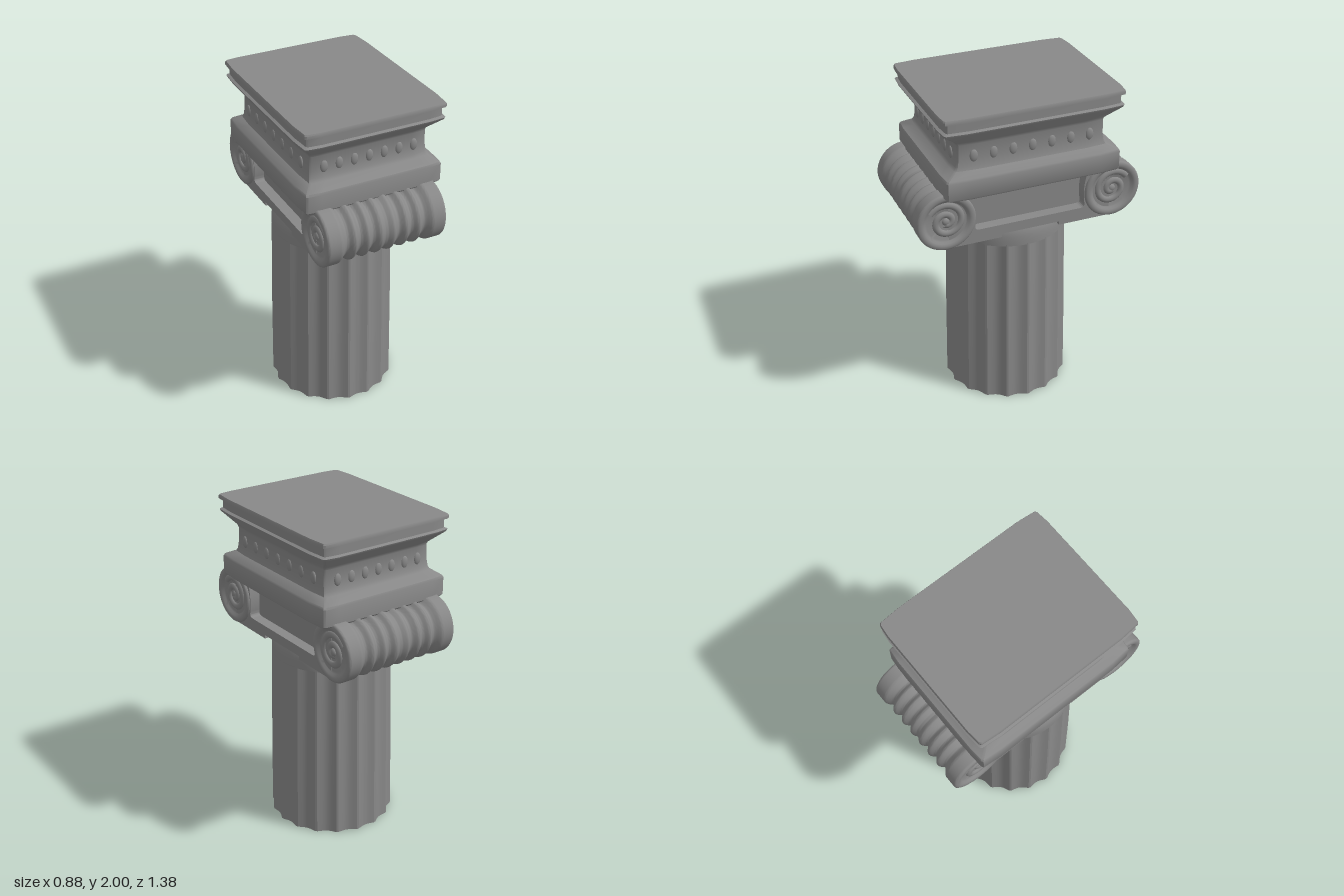
import * as THREE from 'three';
import { toCreasedNormals } from 'three/addons/utils/BufferGeometryUtils.js';

const material = new THREE.MeshStandardMaterial({ color: 0x888888 });

function add(parent, name, geometry, x = 0, y = 0, z = 0) {
  const mesh = new THREE.Mesh(geometry, material);
  mesh.name = name;
  mesh.position.set(x, y, z);
  parent.add(mesh);
  return mesh;
}

// Skin closed rings of [x, y, z] points, listed bottom to top, and cap both ends.
function loft(rings, crease) {
  const n = rings[0].length, index = [];
  const points = rings.flat();
  for (let i = 0; i < rings.length - 1; i++) {
    for (let j = 0; j < n; j++) {
      const a = i * n + j, b = i * n + (j + 1) % n;
      index.push(a, a + n, b, b, a + n, b + n);
    }
  }
  const last = (rings.length - 1) * n, low = points.length, high = low + 1;
  points.push([0, rings[0][0][1], 0], [0, rings.at(-1)[0][1], 0]);
  for (let j = 0; j < n; j++) {
    const k = (j + 1) % n;
    index.push(low, j, k, high, last + k, last + j);
  }
  const g = new THREE.BufferGeometry();
  g.setAttribute('position', new THREE.Float32BufferAttribute(points.flat(), 3));
  g.setIndex(index);
  return toCreasedNormals(g, crease);
}

// Rectangle with softly worn corners, half sizes a (x) and b (z).
function wornRectangle(a, b, y) {
  const corner = [[a, b - 0.135], [a - 0.01, b - 0.016], [a - 0.022, b - 0.008], [a - 0.1, b]];
  const back = [...corner].reverse();
  return [
    ...corner,
    ...back.map(([x, z]) => [-x, z]),
    ...corner.map(([x, z]) => [-x, -z]),
    ...back.map(([x, z]) => [x, -z]),
  ].map(([x, z]) => [x, y, z]);
}

// Circle with scalloped flutes separated by narrow ridges.
function flutedRing(radius, y) {
  const flutes = 18, steps = 10, ring = [];
  for (let i = 0; i < flutes * steps; i++) {
    const t = ((i - 0.5) / (flutes * steps)) * Math.PI * 2;
    const across = Math.max(0, (i % steps) - 1) / (steps - 1);
    const r = radius - 0.018 * Math.sin(Math.PI * across);
    ring.push([r * Math.cos(t), y, r * Math.sin(t)]);
  }
  return ring;
}

function createColumn() {
  const column = new THREE.Group();
  column.name = 'column';
  column.position.set(-0.011, 0, 0.011);
  add(column, 'flutedShaft', loft([flutedRing(0.379, 0), flutedRing(0.372, 0.55), flutedRing(0.36, 1.1)], 0.3));
  const neck = [[0, 1.09], [0.36, 1.09], [0.36, 1.12], [0.358, 1.15], [0.353, 1.18], [0.34, 1.21], [0, 1.21]];
  add(column, 'neck', toCreasedNormals(
    new THREE.LatheGeometry(neck.map(p => new THREE.Vector2(...p)), 64), 0.6));
  return column;
}

// Radius of the ribbed roll at a distance x from its middle, shallower at the centre.
function rollRadius(x) {
  const d = Math.abs(x);
  if (d < 0.04) return 0.163 - 0.008 * Math.cos(Math.PI * 2 * d / 0.08);
  if (d < 0.24) return 0.158 - 0.013 * Math.cos(Math.PI * 2 * d / 0.08);
  return 0.145 + 0.03 * THREE.MathUtils.smoothstep(d, 0.24, 0.29);
}

// Spiral curling in to the eye of a scroll.
class Spiral extends THREE.Curve {
  getPoint(t, target = new THREE.Vector3()) {
    const r = 0.112 * (1 - t) + 0.016 * t, angle = t * Math.PI * 3.4 + 0.6;
    return target.set(0, r * Math.sin(angle), r * Math.cos(angle));
  }
}

function createScroll() {
  const scroll = new THREE.Group();
  scroll.name = 'scroll';
  // Ribbed roll with a rounded rim and a recessed face at each end
  const end = [[0, 0.352], [0.115, 0.352], [0.126, 0.357], [0.136, 0.367], [0.148, 0.372], [0.164, 0.371], [0.172, 0.366]];
  const profile = end.map(([r, x]) => new THREE.Vector2(r, -x));
  for (let i = -60; i <= 60; i++) profile.push(new THREE.Vector2(rollRadius(i * 0.006), i * 0.006));
  profile.push(...end.reverse().map(([r, x]) => new THREE.Vector2(r, x)));
  const roll = toCreasedNormals(new THREE.LatheGeometry(profile, 64), 0.9);
  add(scroll, 'ribbedRoll', roll.rotateZ(-Math.PI / 2));
  // Soft spiral relief and eye on both end faces
  const spiral = new THREE.TubeGeometry(new Spiral(), 110, 0.021, 10);
  const eye = new THREE.SphereGeometry(0.024, 20, 12);
  for (const side of [-1, 1]) {
    add(scroll, 'spiralRelief', spiral, side * 0.349).scale.x = 0.8;
    add(scroll, 'scrollEye', eye, side * 0.349).scale.x = 0.7;
  }
  return scroll;
}

function createCapital() {
  const capital = new THREE.Group();
  capital.name = 'capital';
  for (const side of [-1, 1]) {
    const scroll = createScroll();
    scroll.position.set(0, 1.355, side * 0.513);
    scroll.scale.z = side;
    capital.add(scroll);
  }
  add(capital, 'core', new THREE.BoxGeometry(0.58, 0.29, 0.88), 0, 1.345, 0);
  add(capital, 'middleBand', new THREE.BoxGeometry(0.16, 0.06, 0.96), 0, 1.485, 0);

  // Side frame: sagging band above, notched band below, curved ends beside the scrolls
  const frame = new THREE.Shape();
  frame.moveTo(-0.5, 1.18);
  frame.lineTo(-0.18, 1.18);
  frame.lineTo(-0.18, 1.202);
  frame.lineTo(0.18, 1.202);
  frame.lineTo(0.18, 1.18);
  frame.lineTo(0.5, 1.18);
  frame.lineTo(0.5, 1.525);
  frame.bezierCurveTo(0.28, 1.525, 0.2, 1.475, 0.08, 1.475);
  frame.lineTo(-0.08, 1.475);
  frame.bezierCurveTo(-0.2, 1.475, -0.28, 1.525, -0.5, 1.525);
  const panel = new THREE.Path();
  panel.moveTo(-0.31, 1.262);
  panel.lineTo(0.31, 1.262);
  panel.quadraticCurveTo(0.345, 1.262, 0.34, 1.29);
  panel.quadraticCurveTo(0.325, 1.37, 0.345, 1.455);
  panel.quadraticCurveTo(0.35, 1.485, 0.31, 1.485);
  panel.bezierCurveTo(0.2, 1.478, 0.16, 1.455, 0.08, 1.455);
  panel.lineTo(-0.08, 1.455);
  panel.bezierCurveTo(-0.16, 1.455, -0.2, 1.478, -0.31, 1.485);
  panel.quadraticCurveTo(-0.35, 1.485, -0.345, 1.455);
  panel.quadraticCurveTo(-0.325, 1.37, -0.34, 1.29);
  panel.quadraticCurveTo(-0.345, 1.262, -0.31, 1.262);
  frame.holes.push(panel);
  const frameGeometry = new THREE.ExtrudeGeometry(frame, { depth: 0.08, bevelEnabled: false, curveSegments: 16 });
  frameGeometry.rotateY(Math.PI / 2).translate(-0.04, 0, 0);
  for (const side of [-1, 1]) {
    add(capital, 'sideFrame', toCreasedNormals(frameGeometry, 0.6), side * 0.315);
  }
  return capital;
}

function createTopBlock() {
  const block = new THREE.Group();
  block.name = 'topBlock';
  // Moulding as [half width, half depth, height]
  const moulding = [
    [0.425, 0.525, 1.508], [0.431, 0.533, 1.518], [0.431, 0.533, 1.62], [0.425, 0.527, 1.632],
    [0.38, 0.468, 1.662], [0.374, 0.457, 1.68], [0.37, 0.45, 1.72], [0.368, 0.448, 1.81],
    [0.374, 0.456, 1.828], [0.434, 0.537, 1.9], [0.438, 0.542, 1.912], [0.423, 0.527, 1.92],
    [0.423, 0.527, 1.97], [0.44, 0.545, 1.976], [0.44, 0.545, 1.992], [0.436, 0.541, 2],
  ];
  add(block, 'moulding', loft(moulding.map(([a, b, y]) => wornRectangle(a, b, y)), 0.6));

  // Row of seven oval beads along each face
  const bead = new THREE.SphereGeometry(1, 16, 12);
  for (const side of [-1, 1]) {
    for (let i = -3; i <= 3; i++) {
      add(block, 'bead', bead, i * 0.0925, 1.742, side * 0.448).scale.set(0.023, 0.036, 0.012);
      add(block, 'bead', bead, side * 0.367, 1.742, i * 0.116).scale.set(0.012, 0.036, 0.024);
    }
  }
  return block;
}

export function createModel() {
  const model = new THREE.Group();
  model.name = 'pillar';
  model.add(createColumn(), createCapital(), createTopBlock());
  return model;
}
